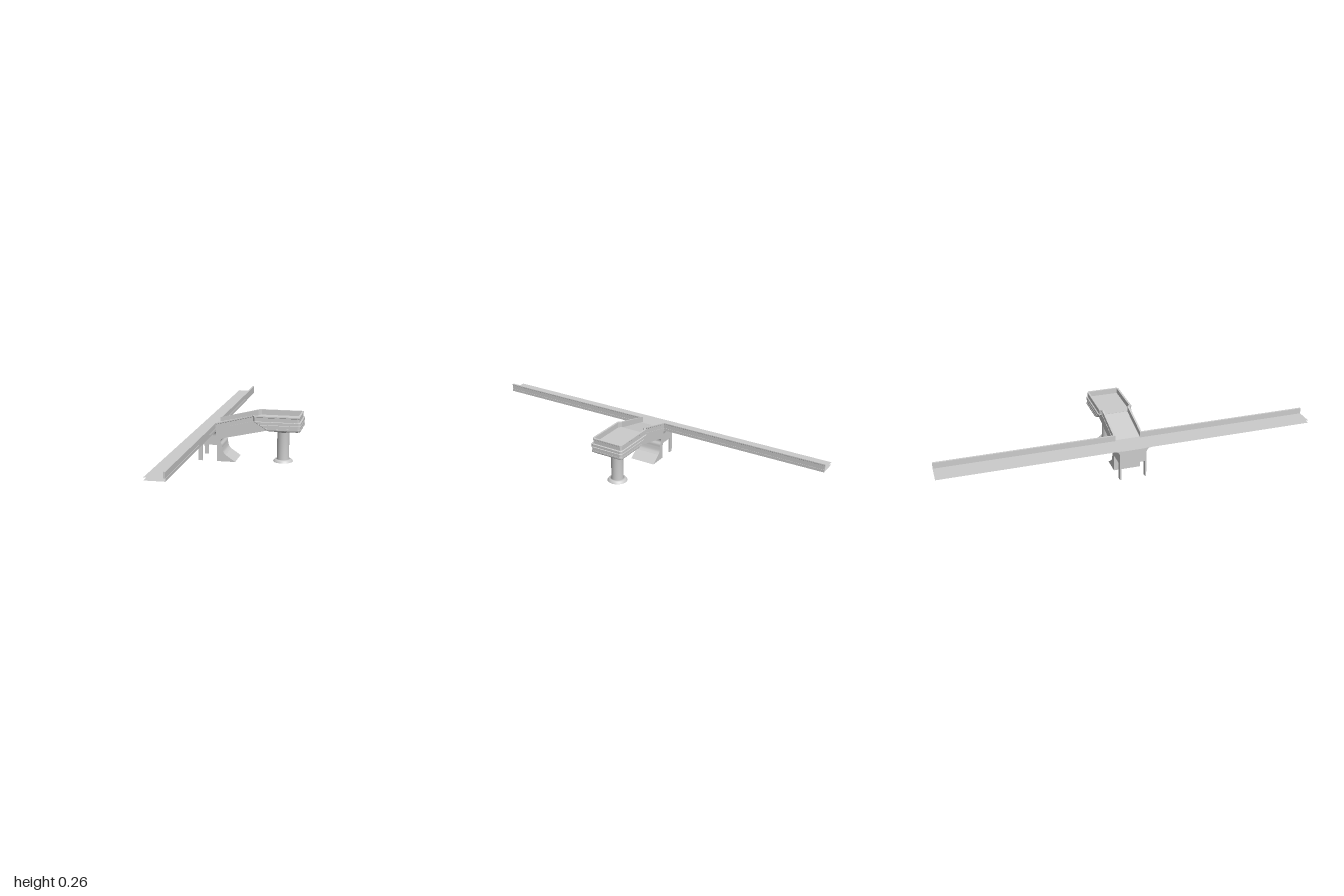
import * as THREE from 'three';

const flat = new THREE.MeshStandardMaterial({ color: 0xcccccc, flatShading: true, side: THREE.DoubleSide });
const smooth = new THREE.MeshStandardMaterial({ color: 0xcccccc, side: THREE.DoubleSide });

// Height of the parapet top along the ramp
const rampTop = (x) => 0.2125 + (x + 0.18) * 0.2415;

// Skin between equal-length cross-sections, with fan caps on both ends
function loft(rings) {
  const pos = [];
  const tri = (a, b, c) => pos.push(...a, ...b, ...c);
  const n = rings[0].length;
  for (let i = 0; i < rings.length - 1; i++) {
    for (let j = 0; j < n; j++) {
      const k = (j + 1) % n, a = rings[i], b = rings[i + 1];
      tri(a[j], b[j], b[k]);
      tri(a[j], b[k], a[k]);
    }
  }
  const first = rings[0], last = rings[rings.length - 1];
  for (let j = 1; j < n - 1; j++) {
    tri(first[0], first[j], first[j + 1]);
    tri(last[0], last[j + 1], last[j]);
  }
  const g = new THREE.BufferGeometry();
  g.setAttribute('position', new THREE.Float32BufferAttribute(pos, 3));
  g.computeVertexNormals();
  return g;
}

export function createModel() {
  const group = new THREE.Group();
  const add = (name, geometry, material = flat) => {
    const mesh = new THREE.Mesh(geometry, material);
    mesh.name = name;
    group.add(mesh);
    return mesh;
  };

  // Walkway: open-ended upper and lower plates with a fascia on the ramp side
  for (const [name, y, dir] of [['walkwayDeck', 0.182, -1], ['walkwayUnderside', 0.168, 1]]) {
    const plate = add(name, new THREE.PlaneGeometry(0.1, 2));
    plate.rotation.x = dir * Math.PI / 2;
    plate.position.set(-0.23, y, 0);
  }
  const fascia = add('walkwayFascia', new THREE.PlaneGeometry(2, 0.014));
  fascia.rotation.y = Math.PI / 2;
  fascia.position.set(-0.18, 0.175, 0);

  // Parapet: one section swept along walkway, ramp and platform, then mirrored
  // Each stop is outer x, outer z, inner x, inner z, top y
  const half = [
    [-0.18, 1, -0.19, 1, 0.2125],
    [-0.18, 0.077, -0.19, 0.067, 0.2125],
    [0.02, 0.077, 0.024, 0.067, 0.262],
    [0.03, 0.091, 0.04, 0.081, 0.262],
    [0.262, 0.091, 0.258, 0.081, 0.262],
    [0.272, 0.081, 0.262, 0.077, 0.262],
  ];
  const path = [...half, ...half.map(([a, b, c, d, t]) => [a, -b, c, -d, t]).reverse()];
  const section = [[0, -0.031], [0, 0], [1, 0], [1, -0.006], [0.8, -0.008], [0.8, -0.031]];
  add('parapet', loft(path.map(([ox, oz, ix, iz, top]) =>
    section.map(([k, dy]) => [ix + (ox - ix) * k, top + dy, iz + (oz - iz) * k]))));

  // Ramp floor slab
  const slab = [[-0.18, 0.182, 0.165], [0.025, 0.232, 0.2145], [0.08, 0.232, 0.228]];
  add('rampFloor', loft(slab.map(([x, top, bottom]) =>
    [[x, top, -0.077], [x, bottom, -0.077], [x, bottom, 0.077], [x, top, 0.077]])));

  // Ramp ledge below the slab
  add('rampLedge', loft([-0.18, 0.1].map((x) => {
    const y = rampTop(x) - 0.069;
    return [[x, y + 0.022, -0.074], [x, y, -0.074], [x, y, 0.074], [x, y + 0.022, 0.074]];
  })));

  // Ramp beam and curved foot in one side profile
  const side = new THREE.Shape();
  side.moveTo(-0.28, 0.09);
  side.lineTo(-0.177, 0.09);
  side.lineTo(-0.177, 0);
  side.lineTo(-0.077, 0);
  side.lineTo(-0.13, 0.037);
  side.splineThru([[-0.142, 0.053], [-0.147, 0.075], [-0.149, 0.092], [-0.157, 0.108],
    [-0.153, 0.123], [-0.135, 0.131]].map(([x, y]) => new THREE.Vector2(x, y)));
  side.lineTo(0.1, 0.183);
  side.lineTo(0.1, 0.2);
  side.lineTo(0.06, 0.222);
  side.lineTo(-0.18, 0.165);
  side.lineTo(-0.28, 0.166);
  const beam = new THREE.ExtrudeGeometry(side, { depth: 0.144, bevelEnabled: false, curveSegments: 24 });
  add('rampBeamAndFoot', beam.translate(0, 0, -0.072));

  for (const s of [1, -1]) {
    // Thin rear posts
    const post = add('rearPost', new THREE.BoxGeometry(0.023, 0.09, 0.008));
    post.position.set(-0.2685, 0.045, s * 0.068);

    // Coved brackets under the walkway
    const cove = [[0.06, 0.1675], [0.06, 0.143]];
    for (let i = 0; i <= 8; i++) {
      const a = (i / 8) * Math.PI / 2;
      cove.push([0.096 - 0.024 * Math.cos(a), 0.143 + 0.0245 * Math.sin(a)]);
    }
    const bracket = add('coveBracket', loft([-0.28, -0.18].map((x) => cove.map(([z, y]) => [x, y, z]))));
    bracket.scale.z = s;
  }

  // Platform body: rounded plan stacked by height and inset, with a sloping rear end
  const levels = [[0.182, 0.008], [0.186, 0.002], [0.19, 0], [0.198, 0], [0.198, 0.002], [0.213, 0.002],
    [0.213, 0], [0.215, 0], [0.216, 0.006], [0.218, 0.006], [0.219, 0], [0.232, 0], [0.2335, 0.003]];
  add('platformBody', loft(levels.map(([y, inset]) => {
    const x0 = 0.025 + Math.max(0, 0.232 - y) * 1.5;
    const x1 = 0.278 - inset, w = 0.095 - inset, r = 0.014;
    const ring = [[x0, y, -w + 0.012], [x0 + 0.01, y, -w]];
    for (const s of [-1, 1]) {
      for (let i = 0; i <= 4; i++) {
        const a = (s < 0 ? i : 4 - i) / 4 * Math.PI / 2;
        ring.push([x1 - r + r * Math.sin(a), y, s * (w - r + r * Math.cos(a))]);
      }
    }
    ring.push([x0 + 0.01, y, w], [x0, y, w - 0.012]);
    return ring.reverse();
  })));

  // Column with flared base and capital
  const profile = [[0.0535, 0], [0.051, 0.005], [0.046, 0.011], [0.041, 0.0135], [0.0325, 0.0135],
    [0.0325, 0.167], [0.042, 0.167], [0.05, 0.17], [0.056, 0.176], [0.062, 0.184]];
  const column = add('column', new THREE.LatheGeometry(
    profile.map(([r, y]) => new THREE.Vector2(r, y)), 32), smooth);
  column.position.x = 0.173;

  return group;
}
